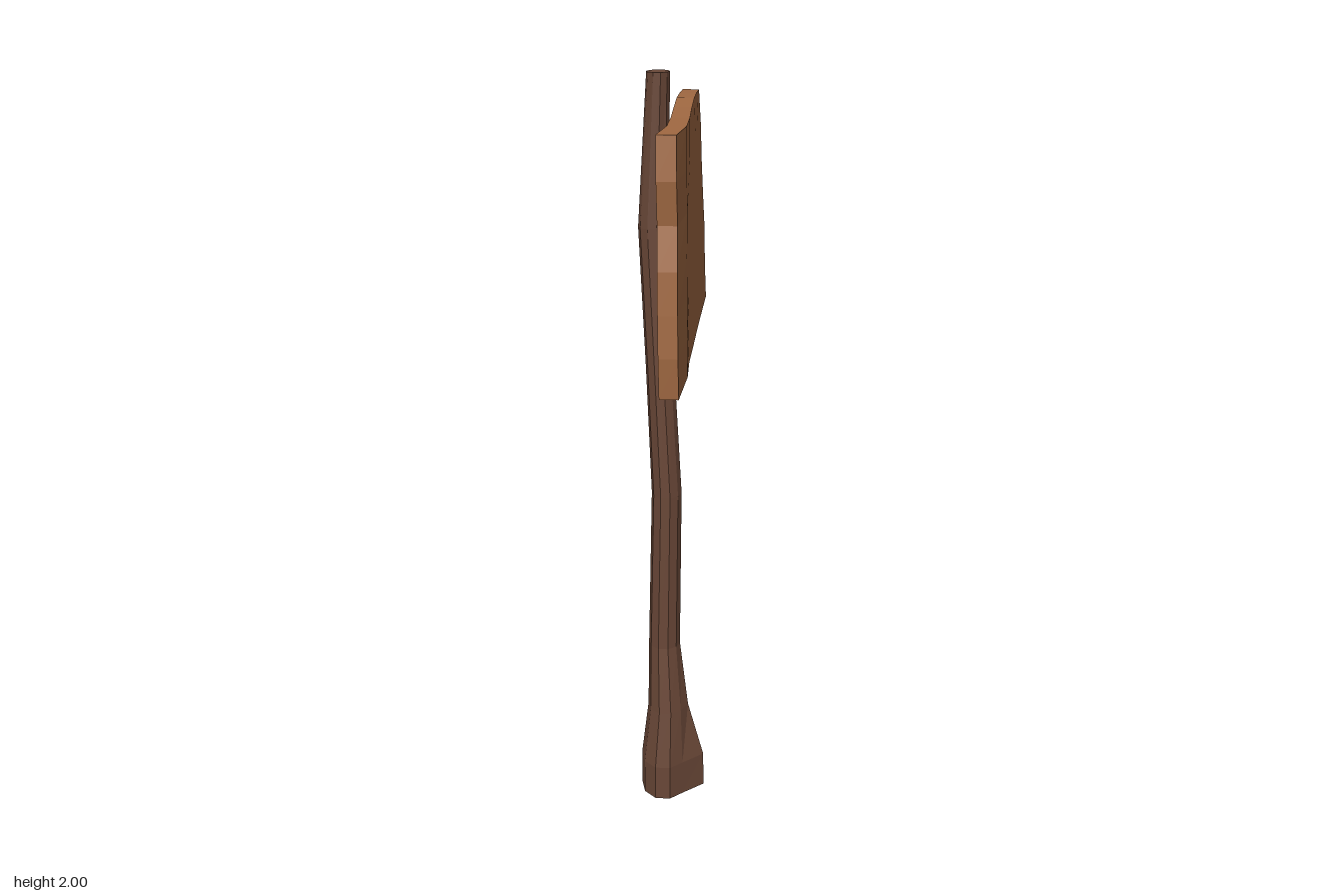
import * as THREE from 'three';

const darkWood = new THREE.MeshStandardMaterial({ name: 'darkWood', color: 0x694737, flatShading: true });
const plankWood = new THREE.MeshStandardMaterial({ name: 'plankWood', color: 0xa26a43, flatShading: true });

// Post sections: y, centre x, centre z, half width x, half width z, root bulge toward +x
const RINGS = [
  [0, -0.025, 0.034, 0.066, 0.088, 1.67],
  [0.1, -0.025, 0.034, 0.066, 0.088, 1.65],
  [0.26, -0.02, 0.033, 0.052, 0.064, 1.15],
  [0.45, -0.027, 0.025, 0.043, 0.047, 1],
  [0.9, -0.02, 0.027, 0.04, 0.044, 1],
  [1.25, -0.036, 0.033, 0.037, 0.035, 1],
  [1.62, -0.052, 0.036, 0.038, 0.035, 1],
  [2, -0.038, 0.038, 0.029, 0.036, 1],
];

// Board edges: ends run bottom to top, long edges and bends run from -z to +z
const BACK_END = [-0.5, -0.5, -0.535, -0.517, -0.506, -0.52, -0.49];
const FRONT_END = [0.53, 0.54, 0.538, 0.534, 0.516, 0.53, 0.522];
const TOP_EDGE = [1.895, 1.907, 1.915, 1.911, 1.91, 1.915, 1.92];
const LOW_EDGE = [1.305, 1.306, 1.305, 1.3, 1.315, 1.33, 1.33];
const TOP_BEND = [0.005, 0.01, 0.015, 0.02, 0.027, 0.032, 0.022];
const LOW_BEND = [0.028, 0.027, 0.026, 0.025, 0.028, 0.036, 0.028];

// Moves every vertex by a rule
function reshape(geometry, rule) {
  const pos = geometry.attributes.position;
  const v = new THREE.Vector3();
  for (let i = 0; i < pos.count; i++) {
    v.fromBufferAttribute(pos, i);
    rule(v);
    pos.setXYZ(i, v.x, v.y, v.z);
  }
  const flat = geometry.toNonIndexed();
  flat.computeVertexNormals();
  return flat;
}

// Crooked ten-sided trunk with a flared foot
function makePost() {
  const spans = RINGS.length - 1;
  const geometry = new THREE.CylinderGeometry(1, 1, 1, 10, spans).rotateY(Math.PI / 10);
  const mesh = new THREE.Mesh(reshape(geometry, (v) => {
    const [y, cx, cz, rx, rz, bulge] = RINGS[Math.round((v.y + 0.5) * spans)];
    const root = v.x > 0.99 ? bulge : 1;
    v.set(cx + v.x * rx * root, y, cz + v.z * rz);
  }), darkWood);
  mesh.name = 'post';
  return mesh;
}

// Warped plank with ragged ends
function makeBoard() {
  const geometry = new THREE.BoxGeometry(0.045, 1, 1, 1, 6, 6);
  const mesh = new THREE.Mesh(reshape(geometry, (v) => {
    const row = Math.round((v.y + 0.5) * 6);
    const col = Math.round((v.z + 0.5) * 6);
    const { lerp } = THREE.MathUtils;
    v.set(
      v.x + lerp(LOW_BEND[col], TOP_BEND[col], row / 6),
      lerp(LOW_EDGE[col], TOP_EDGE[col], row / 6),
      lerp(BACK_END[row], FRONT_END[row], col / 6),
    );
  }), plankWood);
  mesh.name = 'board';
  return mesh;
}

export function createModel() {
  const group = new THREE.Group();
  group.name = 'signpost';
  group.add(makePost(), makeBoard());
  return group;
}
